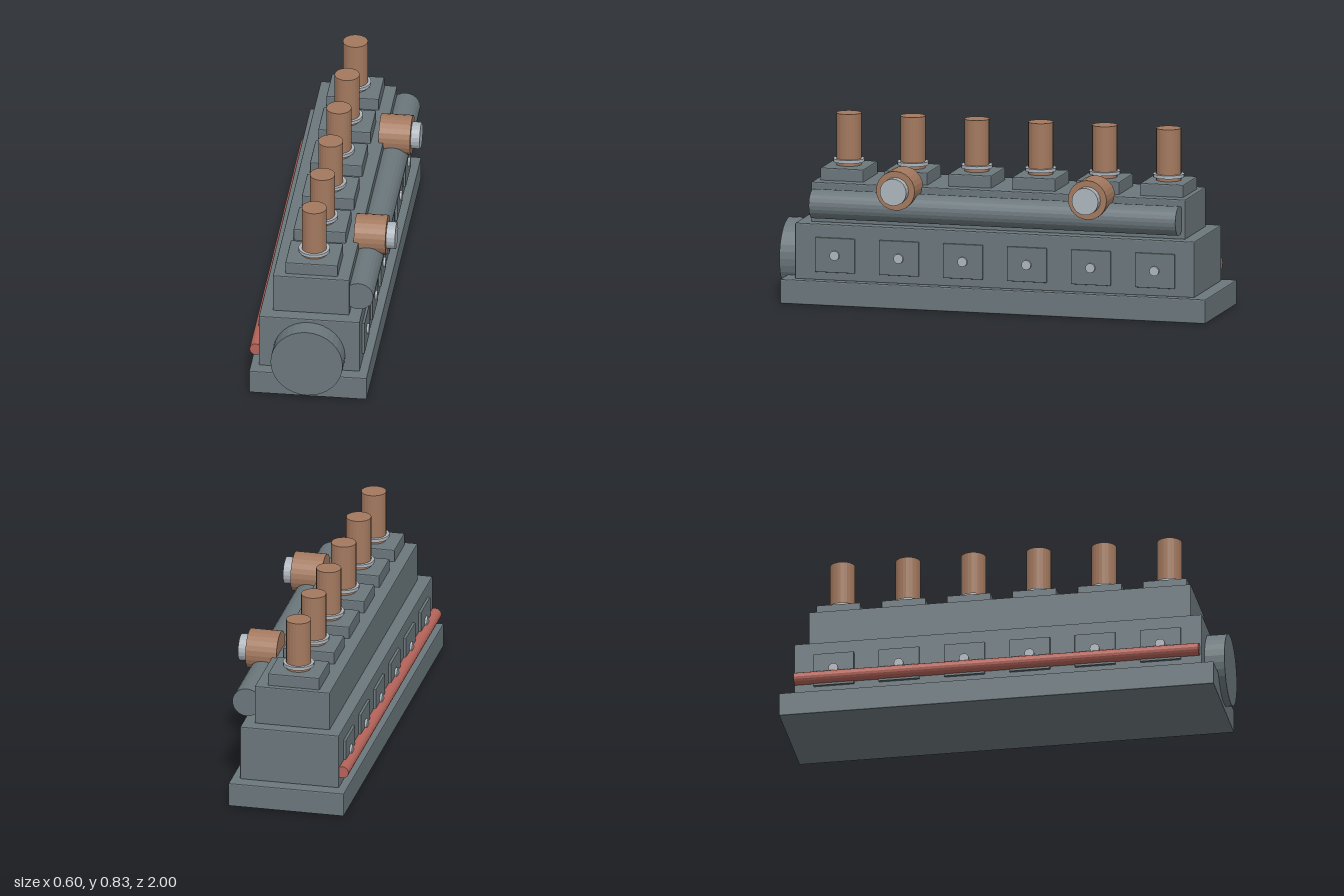
import * as THREE from 'three';
import { RoundedBoxGeometry } from 'three/addons/geometries/RoundedBoxGeometry.js';

const CX = -0.033; // centre line of the engine block
const STATIONS = [-0.757, -0.461, -0.165, 0.131, 0.427, 0.723];

export function createModel() {
  const model = new THREE.Group();
  model.name = 'engine';

  const makeMaterial = (name, color) => {
    const m = new THREE.MeshStandardMaterial({ color, flatShading: true });
    m.name = name;
    return m;
  };
  const steel = makeMaterial('slate steel', 0x6b777c);
  const copper = makeMaterial('copper', 0xa3795f);
  const silver = makeMaterial('silver', 0xadb5bc);
  const red = makeMaterial('red pipe', 0xb5645a);

  const add = (name, geometry, material) => {
    const mesh = new THREE.Mesh(geometry, material);
    mesh.name = name;
    model.add(mesh);
    return mesh;
  };

  // Box with slightly chamfered edges, given by its limits
  const box = (name, x0, x1, y0, y1, z0, z1, bevel = 0.005) => {
    const g = new RoundedBoxGeometry(x1 - x0, y1 - y0, z1 - z0, 1, bevel);
    g.translate((x0 + x1) / 2, (y0 + y1) / 2, (z0 + z1) / 2);
    return add(name, g, steel);
  };

  // Cylinder along an axis, from a to b, centred at (x, y, z) on the other axes
  const cylinder = (name, axis, a, b, r, x, y, z, material, sides = 24) => {
    const g = new THREE.CylinderGeometry(r, r, b - a, sides);
    if (axis === 'x') g.rotateZ(-Math.PI / 2);
    if (axis === 'z') g.rotateX(Math.PI / 2);
    const mesh = add(name, g, material);
    mesh.position.set(x, y, z);
    mesh.position[axis] = (a + b) / 2;
    return mesh;
  };

  // Stepped block
  box('base', -0.296, 0.233, 0, 0.11, -1, 0.969);
  box('crankcase', -0.259, 0.194, 0.108, 0.362, -0.938, 0.91);
  box('cylinderHead', -0.204, 0.14, 0.36, 0.541, -0.881, 0.85);

  // Flywheel on the front, long pipes on both sides
  cylinder('flywheel', 'z', 0.9, 1, 0.162, CX, 0.184, 0, steel, 32);
  cylinder('manifold', 'z', -0.864, 0.832, 0.066, 0.18, 0.451, 0, steel);
  cylinder('fuelPipe', 'z', -0.933, 0.9, 0.028, -0.274, 0.184, 0, red, 16);

  for (const z of STATIONS) {
    // Head pad, stack and collar
    box('pad', CX - 0.118, CX + 0.118, 0.535, 0.597, z - 0.1, z + 0.1);
    cylinder('stack', 'y', 0.59, 0.832, 0.056, CX, 0, z, copper);
    cylinder('collar', 'y', 0.611, 0.626, 0.07, CX, 0, z, silver);

    // Inspection cover and bolt on each side
    for (const s of [-1, 1]) {
      const inner = CX + s * 0.22, outer = CX + s * 0.238, tip = CX + s * 0.248;
      box('cover', Math.min(inner, outer), Math.max(inner, outer),
        0.146, 0.302, z - 0.092, z + 0.092, 0.003);
      cylinder('coverBolt', 'x', Math.min(inner, tip), Math.max(inner, tip),
        0.022, 0, 0.224, z, silver, 12);
    }
  }

  // Turbochargers with intake caps above the manifold
  for (const z of [STATIONS[1], STATIONS[4]]) {
    cylinder('turbocharger', 'x', 0.118, 0.26, 0.089, 0, 0.54, z, copper);
    cylinder('intakeCap', 'x', 0.25, 0.3, 0.061, 0, 0.54, z, silver, 20);
  }

  return model;
}
